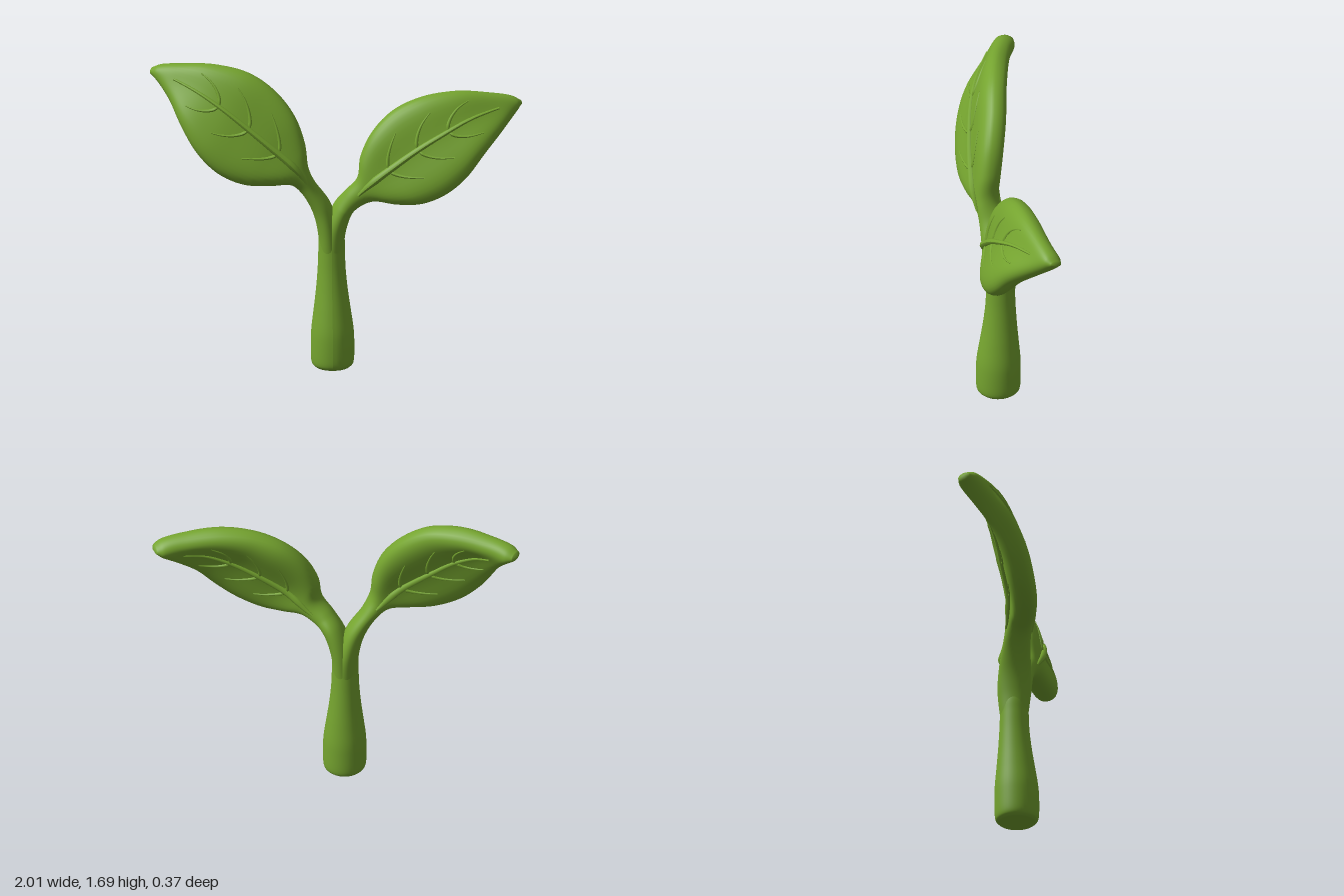
import * as THREE from 'three';

const V = (x, y, z) => new THREE.Vector3(x, y, z);

// Shared depth of the upper edge, lower edge, and half thickness, from branch foot to leaf tip
const UPPER_Z = [0.01, 0.012, 0.022, 0.04, 0.045, 0.032, 0.01, -0.02, -0.042, -0.075, -0.115, -0.147, -0.158];
const LOWER_Z = [0.01, 0.012, 0.022, 0.045, 0.078, 0.115, 0.138, 0.138, 0.115, 0.06, -0.04, -0.125, -0.152];
const HALF = [0.074, 0.089, 0.086, 0.072, 0.07, 0.086, 0.098, 0.103, 0.101, 0.094, 0.076, 0.056, 0.034];

// Matching outline points [upperX, upperY, lowerX, lowerY] from branch foot to leaf tip
const RIGHT_LEAF = [
  [0.03, 0.62, -0.09, 0.62], [0.01, 0.78, -0.1, 0.76], [-0.03, 0.92, -0.13, 0.88],
  [-0.115, 1.05, -0.19, 0.99], [-0.155, 1.14, -0.25, 1.045], [-0.17, 1.27, -0.36, 1.05],
  [-0.22, 1.42, -0.5, 1.06], [-0.33, 1.56, -0.64, 1.12], [-0.47, 1.652, -0.755, 1.23],
  [-0.64, 1.685, -0.835, 1.36], [-0.82, 1.675, -0.895, 1.485], [-0.94, 1.66, -0.957, 1.57],
  [-0.985, 1.64, -0.99, 1.6],
];
const LEFT_LEAF = [
  [-0.08, 0.62, 0.04, 0.62], [-0.06, 0.8, 0.052, 0.76], [-0.01, 0.92, 0.095, 0.88],
  [0.05, 1.0, 0.14, 0.92], [0.115, 1.08, 0.21, 0.95], [0.13, 1.2, 0.33, 0.94],
  [0.19, 1.33, 0.46, 0.945], [0.3, 1.44, 0.59, 0.995], [0.45, 1.507, 0.7, 1.08],
  [0.63, 1.527, 0.8, 1.2], [0.82, 1.5, 0.9, 1.31], [0.945, 1.47, 0.965, 1.383],
  [0.985, 1.445, 0.99, 1.415],
];

// Returns a function giving a surface point: t along the leaf, s across (-1..1), side +1 front / -1 back
function leafSurface(rows, dir) {
  const upper = new THREE.CatmullRomCurve3(rows.map((r, i) => V(r[0], r[1], UPPER_Z[i])));
  const lower = new THREE.CatmullRomCurve3(rows.map((r, i) => V(r[2], r[3], LOWER_Z[i])));
  const half = new THREE.CatmullRomCurve3(HALF.map((h, i) => V(i, h, 0)));
  const centre = (t) => upper.getPoint(t).add(lower.getPoint(t)).multiplyScalar(0.5);
  return (t, s, side) => {
    const c = centre(t);
    const across = upper.getPoint(t).sub(c);
    const along = centre(Math.min(1, t + 0.01)).sub(centre(Math.max(0, t - 0.01)));
    const normal = along.cross(across).normalize().multiplyScalar(dir);
    const row = t * 12;
    const blade = THREE.MathUtils.smoothstep(row, 3.5, 6) * (1 - THREE.MathUtils.smoothstep(row, 9, 11.2));
    const q = Math.max(0, 1 - s * s);
    // thick rounded rim around a shallow hollow
    const hollow = 1 - blade * (side > 0 ? 0.36 : 0.42) * q * q;
    const h = half.getPoint(t).y * Math.pow(q, 0.5 - 0.1 * blade) * hollow;
    return c.addScaledVector(across, s * (1 - 0.03 * blade)).addScaledVector(normal, h * side);
  };
}

// Closed skin of one branch with its leaf
function leafGeometry(at, dir) {
  const rings = 90, sides = 44, pos = [], index = [];
  const face = (a, b, c) => (dir > 0 ? index.push(a, b, c) : index.push(a, c, b));
  for (let i = 0; i <= rings; i++) {
    for (let j = 0; j < sides; j++) {
      const a = (j / sides) * Math.PI * 2;
      pos.push(...at(i / rings, Math.cos(a), j <= sides / 2 ? 1 : -1).toArray());
    }
  }
  for (let i = 0; i < rings; i++) {
    for (let j = 0; j < sides; j++) {
      const k = (j + 1) % sides, a = i * sides, b = a + sides;
      face(a + j, a + k, b + j);
      face(a + k, b + k, b + j);
    }
  }
  // rounded tip
  const tip = pos.length / 3;
  const end = at(1, 0, 1).add(at(1, 0, -1)).multiplyScalar(0.5);
  pos.push(end.x + dir * 0.012, end.y, end.z);
  for (let j = 0; j < sides; j++) face(rings * sides + j, rings * sides + (j + 1) % sides, tip);
  const g = new THREE.BufferGeometry();
  g.setAttribute('position', new THREE.Float32BufferAttribute(pos, 3));
  g.setIndex(index);
  g.computeVertexNormals();
  return g;
}

// Tube that narrows towards both ends
function taperedTube(points, radius) {
  const n = 28, m = 8;
  const curve = new THREE.CatmullRomCurve3(points);
  const g = new THREE.TubeGeometry(curve, n, radius, m);
  const p = g.attributes.position, v = V(0, 0, 0);
  for (let i = 0; i < p.count; i++) {
    const u = Math.floor(i / (m + 1)) / n;
    const c = curve.getPointAt(u);
    v.fromBufferAttribute(p, i).sub(c).multiplyScalar(Math.min(1, u * 5 + 0.3) * (1.02 - 0.75 * u)).add(c);
    p.setXYZ(i, v.x, v.y, v.z);
  }
  g.computeVertexNormals();
  return g;
}

function buildLeaf(name, rows, dir, material) {
  const group = new THREE.Group();
  group.name = name;
  const at = leafSurface(rows, dir);
  const add = (part, geometry) => {
    const mesh = new THREE.Mesh(geometry, material);
    mesh.name = part;
    group.add(mesh);
  };
  add('branchAndBlade', leafGeometry(at, dir));
  for (const side of [1, -1]) {
    const face = side > 0 ? 'front' : 'back';
    // midrib
    const rib = [];
    for (let row = 3.6; row <= 10.4; row += 0.4) rib.push(at(row / 12, 0.05, side));
    add(face + 'Midrib', taperedTube(rib, 0.024));
    // side veins curving towards the tip
    for (const row of [5.7, 7, 8.2]) {
      for (const edge of [1, -1]) {
        const vein = [0, 0.25, 0.5, 0.75, 1].map((k) =>
          at((row + 0.7 * k * k + 0.3 * k) / 12, 0.05 + edge * 0.55 * k, side));
        add(face + 'Vein', taperedTube(vein, 0.011));
      }
    }
  }
  return group;
}

// Round stem, flared at the foot and slightly leaning
function stemGeometry() {
  const profile = [[0.1, 0.005], [0.112, 0.02], [0.117, 0.06], [0.117, 0.15], [0.113, 0.22], [0.1, 0.32],
    [0.086, 0.43], [0.076, 0.54], [0.072, 0.64], [0.07, 0.72], [0.055, 0.8], [0.03, 0.85]];
  const curve = new THREE.SplineCurve(profile.map(([r, y]) => new THREE.Vector2(r, y)));
  const points = [new THREE.Vector2(0, 0), new THREE.Vector2(0.094, 0), ...curve.getPoints(60), new THREE.Vector2(0, 0.87)];
  const g = new THREE.LatheGeometry(points, 40);
  const p = g.attributes.position;
  for (let i = 0; i < p.count; i++) {
    const k = THREE.MathUtils.smoothstep(p.getY(i), 0.1, 0.6);
    p.setX(i, p.getX(i) - 0.02 - 0.005 * k);
    p.setZ(i, p.getZ(i) * (1.03 + 0.05 * k) + 0.025 - 0.013 * k);
  }
  g.computeVertexNormals();
  return g;
}

export function createModel() {
  const model = new THREE.Group();
  model.name = 'sprout';
  const green = new THREE.MeshStandardMaterial({ color: 0x75a42f });
  green.name = 'leafGreen';

  const stem = new THREE.Mesh(stemGeometry(), green);
  stem.name = 'stem';
  model.add(stem);
  model.add(buildLeaf('leftLeaf', LEFT_LEAF, 1, green));
  model.add(buildLeaf('rightLeaf', RIGHT_LEAF, -1, green));
  return model;
}
